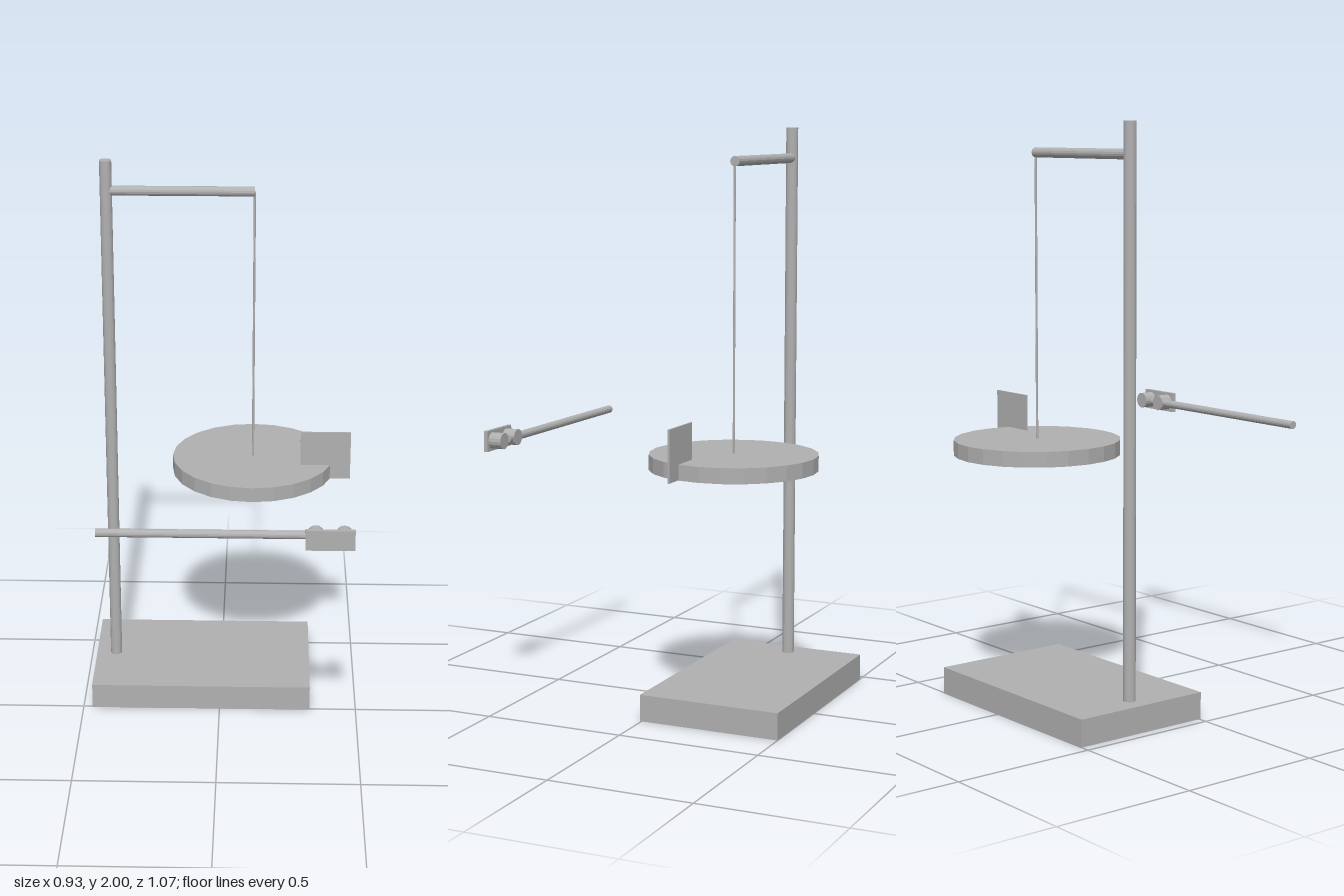
import * as THREE from 'three';

export function createModel() {
  const model = new THREE.Group();
  const grey = new THREE.MeshStandardMaterial({ color: 0xb0b0b0, flatShading: true });
  grey.name = 'matte grey';

  function add(name, geometry, x, y, z) {
    const mesh = new THREE.Mesh(geometry, grey);
    mesh.name = name;
    mesh.position.set(x, y, z);
    model.add(mesh);
    return mesh;
  }
  const box = (name, w, h, d, x, y, z) => add(name, new THREE.BoxGeometry(w, h, d), x, y, z);

  // Cylinder of a given radius between two points on one axis
  function rod(name, radius, from, to, sides = 16) {
    const a = new THREE.Vector3(...from), b = new THREE.Vector3(...to);
    const mid = a.clone().add(b).multiplyScalar(0.5);
    const mesh = add(name, new THREE.CylinderGeometry(radius, radius, a.distanceTo(b), sides), mid.x, mid.y, mid.z);
    mesh.quaternion.setFromUnitVectors(new THREE.Vector3(0, 1, 0), b.sub(a).normalize());
    return mesh;
  }

  const postX = -0.395, axisZ = -0.245, discX = 0.115;

  // Stand
  box('base', 0.798, 0.093, 0.506, -0.068, 0.0465, -0.247);
  rod('post', 0.021, [postX, 0.09, axisZ], [postX, 2, axisZ]);
  rod('topArm', 0.017, [postX, 1.893, axisZ], [discX, 1.893, axisZ]);

  // Hanging disc with an upright vane near its rim
  rod('wire', 0.004, [discX, 0.9, axisZ], [discX, 1.893, axisZ], 8);
  rod('disc', 0.289, [discX, 0.858, axisZ], [discX, 0.911, axisZ], 24);
  box('vane', 0.178, 0.178, 0.006, 0.374, 0.948, -0.165);

  // Separate front arm carrying a plate with two round studs on its back
  const armY = 0.949;
  rod('frontArm', 0.014, [postX, armY, 0.487], [0.373, armY, 0.487]);
  box('sensorPlate', 0.162, 0.071, 0.014, 0.374, armY, 0.524);
  for (const x of [0.327, 0.421]) {
    rod('sensorStud', 0.028, [x, armY, 0.471], [x, armY, 0.519]);
  }
  return model;
}
